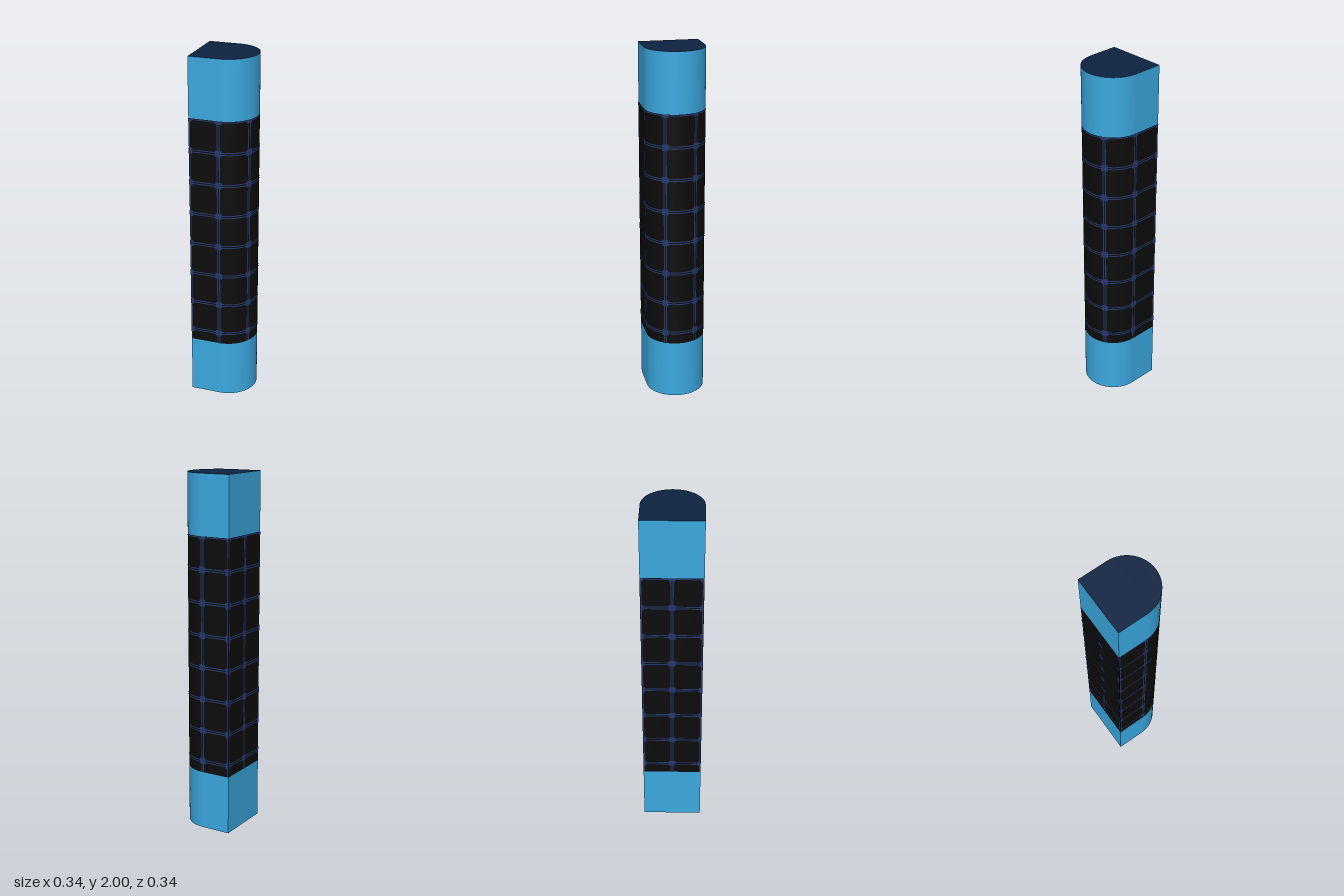
import * as THREE from 'three';
import { mergeGeometries } from 'three/addons/utils/BufferGeometryUtils.js';

const R = 0.167, H = 2, LOW = 0.333, HIGH = 1.667;
const STEP = 0.181, FIRST_ROW = 0.4;

// Walls of the D-shaped outline, walked from the front left corner.
// Each gives position and outward normal at u = 0..1 as [x, z, nx, nz].
const walls = [
  { length: R, tiles: 1, segments: 1, at: u => [-R + u * R, R, 0, 1] },
  {
    length: Math.PI * R, tiles: 3, segments: 32,
    at: u => {
      const a = u * Math.PI, s = Math.sin(a), c = Math.cos(a);
      return [R * s, R * c, s, c];
    },
  },
  { length: R, tiles: 1, segments: 1, at: u => [-u * R, -R, 0, -1] },
  { length: 2 * R, tiles: 2, segments: 1, at: u => [-R, -R + u * 2 * R, -1, 0] },
];

// A patch lying on one wall, from u0 to u1 and y0 to y1, lifted by offset
function patch(wall, u0, u1, y0, y1, offset = 0) {
  const n = Math.max(1, Math.ceil(wall.segments * (u1 - u0)));
  const g = new THREE.PlaneGeometry(1, 1, n, 1);
  const p = g.attributes.position;
  for (let i = 0; i < p.count; i++) {
    const u = u0 + (u1 - u0) * (p.getX(i) + 0.5);
    const y = y0 + (y1 - y0) * (p.getY(i) + 0.5);
    const [x, z, nx, nz] = wall.at(u);
    p.setXYZ(i, x + nx * offset, y, z + nz * offset);
    g.attributes.normal.setXYZ(i, nx, 0, nz);
  }
  return g;
}

export function createModel() {
  const group = new THREE.Group();
  const material = (name, color) => {
    const m = new THREE.MeshStandardMaterial({ color });
    m.name = name;
    return m;
  };
  const blue = material('sky blue', 0x3ba8e0);
  const navy = material('dark navy', 0x0d2342);
  const black = material('black', 0x0c0c0c);
  const indigo = material('indigo', 0x24376f);

  const add = (name, geometries, mat) => {
    const mesh = new THREE.Mesh(mergeGeometries(geometries), mat);
    mesh.name = name;
    group.add(mesh);
  };
  const band = (y0, y1) => walls.map(w => patch(w, 0, 1, y0, y1));

  // Column walls
  add('lowerBand', band(0, LOW), blue);
  add('tiledShaft', band(LOW, HIGH), black);
  add('upperBand', band(HIGH, H), blue);

  // End faces
  const outline = new THREE.Shape();
  outline.moveTo(-R, -R);
  outline.lineTo(0, -R);
  outline.absarc(0, 0, R, -Math.PI / 2, Math.PI / 2, false);
  outline.lineTo(-R, R);
  outline.closePath();
  const face = new THREE.ShapeGeometry(outline, 32);
  add('topFace', [face.clone().rotateX(-Math.PI / 2).translate(0, H, 0)], navy);
  add('bottomFace', [face.clone().rotateX(Math.PI / 2)], navy);

  // Grid of thin double lines with square studs at the crossings
  const lines = [], studs = [];
  const clip = (v, lo, hi) => Math.min(hi, Math.max(lo, v));
  const addPatch = (list, wall, u0, u1, y0, y1, offset) => {
    u0 = clip(u0, 0, 1); u1 = clip(u1, 0, 1);
    y0 = clip(y0, LOW, HIGH); y1 = clip(y1, LOW, HIGH);
    if (u1 - u0 > 1e-4 && y1 - y0 > 1e-4) list.push(patch(wall, u0, u1, y0, y1, offset));
  };
  const rows = Array.from({ length: 8 }, (_, i) => FIRST_ROW + i * STEP);
  const lineEdges = [[-0.009, -0.003], [0.003, 0.009]];
  const half = 0.018;
  for (const wall of walls) {
    for (const y of rows) {
      for (const [a, b] of lineEdges) addPatch(lines, wall, 0, 1, y + a, y + b, 0.0015);
    }
    for (let t = 0; t <= wall.tiles; t++) {
      const u = t / wall.tiles, toU = 1 / wall.length;
      for (const [a, b] of lineEdges) addPatch(lines, wall, u + a * toU, u + b * toU, LOW, HIGH, 0.0015);
      for (const y of rows) addPatch(studs, wall, u - half * toU, u + half * toU, y - half, y + half, 0.002);
    }
  }
  add('gridLines', lines, indigo);
  add('gridStuds', studs, indigo);

  return group;
}
